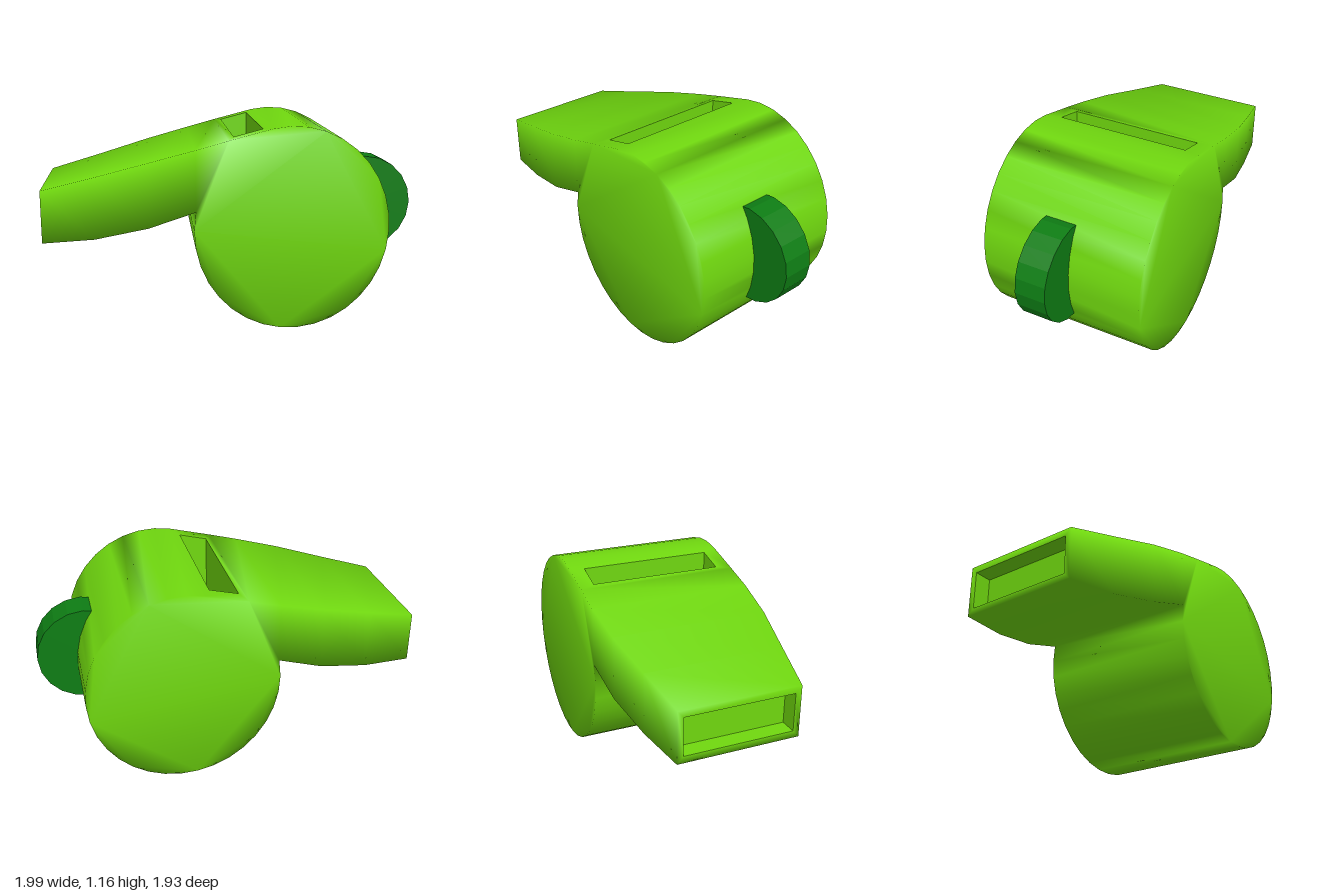
import * as THREE from 'three';
import { mergeVertices } from 'three/addons/utils/BufferGeometryUtils.js';

// Collects quads and triangles given as corner points, counter-clockwise from outside
function surface() {
  const pos = [];
  const tri = (a, b, c) => pos.push(...a, ...b, ...c);
  const quad = (a, b, c, d) => { tri(a, b, c); tri(a, c, d); };
  const build = (smooth) => {
    let g = new THREE.BufferGeometry();
    g.setAttribute('position', new THREE.Float32BufferAttribute(pos, 3));
    if (smooth) g = mergeVertices(g, 1e-4);
    g.computeVertexNormals();
    return g;
  };
  return { tri, quad, build };
}

export function createModel() {
  const lime = new THREE.MeshStandardMaterial({ color: 0x70d80f });
  lime.name = 'lime plastic';
  const green = new THREE.MeshStandardMaterial({ color: 0x0e7d14, flatShading: true });
  green.name = 'dark green plastic';

  // Local frame: x across, z towards the mouthpiece
  const whistle = new THREE.Group();
  whistle.name = 'whistle';
  whistle.rotation.y = -0.821;
  whistle.position.set(0.262, 0, -0.246);

  // Mouthpiece stations from the tip to the chamber: z, top, bottom, half width
  const stations = [
    [1.396, 0.8, 0.5, 0.35],
    [1.1, 0.88, 0.53, 0.404],
    [0.8, 0.965, 0.6, 0.457],
    [0.54, 1.035, 0.69, 0.477],
  ];
  const W = 0.477;

  // Side outline of the whistle: top edge, round chamber, bottom edge
  const top = stations.map(([z, t, , w]) => [z, t, w]);
  const bottom = stations.map(([z, , b, w]) => [z, b, w]).reverse();
  const chamber = [[0.36, 1.084, W]];
  const t0 = Math.acos(0.12 / 0.55), t1 = Math.PI * 2 + 0.191, steps = 28;
  for (let i = 0; i < steps; i++) {
    const t = t0 + ((t1 - t0) * i) / steps;
    chamber.push([0.55 * Math.cos(t), 0.58 + 0.58 * Math.sin(t), W]);
  }
  const outline = [...top, ...chamber, ...bottom];
  const at = ([z, y, w], side) => [side * w, y, z];

  const shell = surface();
  const cavities = surface();

  // Rim around an opening, with the recess behind it
  function opening(outer, inner, depth) {
    const deep = inner.map((p) => p.map((v, k) => v + depth[k]));
    for (let k = 0; k < 4; k++) {
      const n = (k + 1) % 4;
      shell.quad(outer[k], outer[n], inner[n], inner[k]);
      cavities.quad(inner[k], inner[n], deep[n], deep[k]);
    }
    cavities.quad(...deep);
  }

  // Skin across the width, with the air slot and the mouth left open
  outline.forEach((p, i) => {
    const q = outline[(i + 1) % outline.length];
    const corners = [at(p, 1), at(q, 1), at(q, -1), at(p, -1)];
    if (i === top.length) {
      const onTop = (z) => q[1] + ((p[1] - q[1]) * (z - q[0])) / (p[0] - q[0]);
      const inner = [[1, 0.324], [1, 0.161], [-1, 0.161], [-1, 0.324]]
        .map(([s, z]) => [s * 0.39, onTop(z), z]);
      opening(corners, inner, [0, -0.32, 0]);
    } else if (i === outline.length - 1) {
      const inner = corners.map(([x, y, z]) =>
        [x - Math.sign(x) * 0.035, y + (y < 0.65 ? 0.04 : -0.04), z]);
      opening(corners, inner, [0, 0, -0.1]);
    } else {
      shell.quad(...corners);
    }
  });

  // Mouthpiece sides
  for (let i = 0; i < stations.length - 1; i++) {
    const [a, b] = [top[i], top[i + 1]];
    const [c, d] = [bottom[stations.length - 2 - i], bottom[stations.length - 1 - i]];
    shell.quad(at(a, 1), at(d, 1), at(c, 1), at(b, 1));
    shell.quad(at(b, -1), at(c, -1), at(d, -1), at(a, -1));
  }

  // Round chamber ends
  const end = [top[top.length - 1], ...chamber, bottom[0]];
  const flat = end.map(([z, y]) => new THREE.Vector2(z, y));
  for (const [i, j, k] of THREE.ShapeUtils.triangulateShape(flat, [])) {
    const ccw = flat[j].clone().sub(flat[i]).cross(flat[k].clone().sub(flat[i])) > 0;
    const [m, n] = ccw ? [k, j] : [j, k];
    shell.tri(at(end[i], 1), at(end[m], 1), at(end[n], 1));
    shell.tri(at(end[i], -1), at(end[n], -1), at(end[m], -1));
  }

  const body = new THREE.Mesh(shell.build(true), lime);
  body.name = 'body';
  const recesses = new THREE.Mesh(cavities.build(false), lime);
  recesses.name = 'slotAndMouthRecesses';

  // Cord lug: a disc half sunk into the back
  const lug = new THREE.Mesh(new THREE.CylinderGeometry(0.282, 0.282, 0.18, 20), green);
  lug.name = 'cordLug';
  lug.rotation.z = Math.PI / 2;
  lug.position.set(0.03, 0.645, -0.492);

  whistle.add(body, recesses, lug);
  const model = new THREE.Group();
  model.name = 'model';
  model.add(whistle);
  return model;
}
